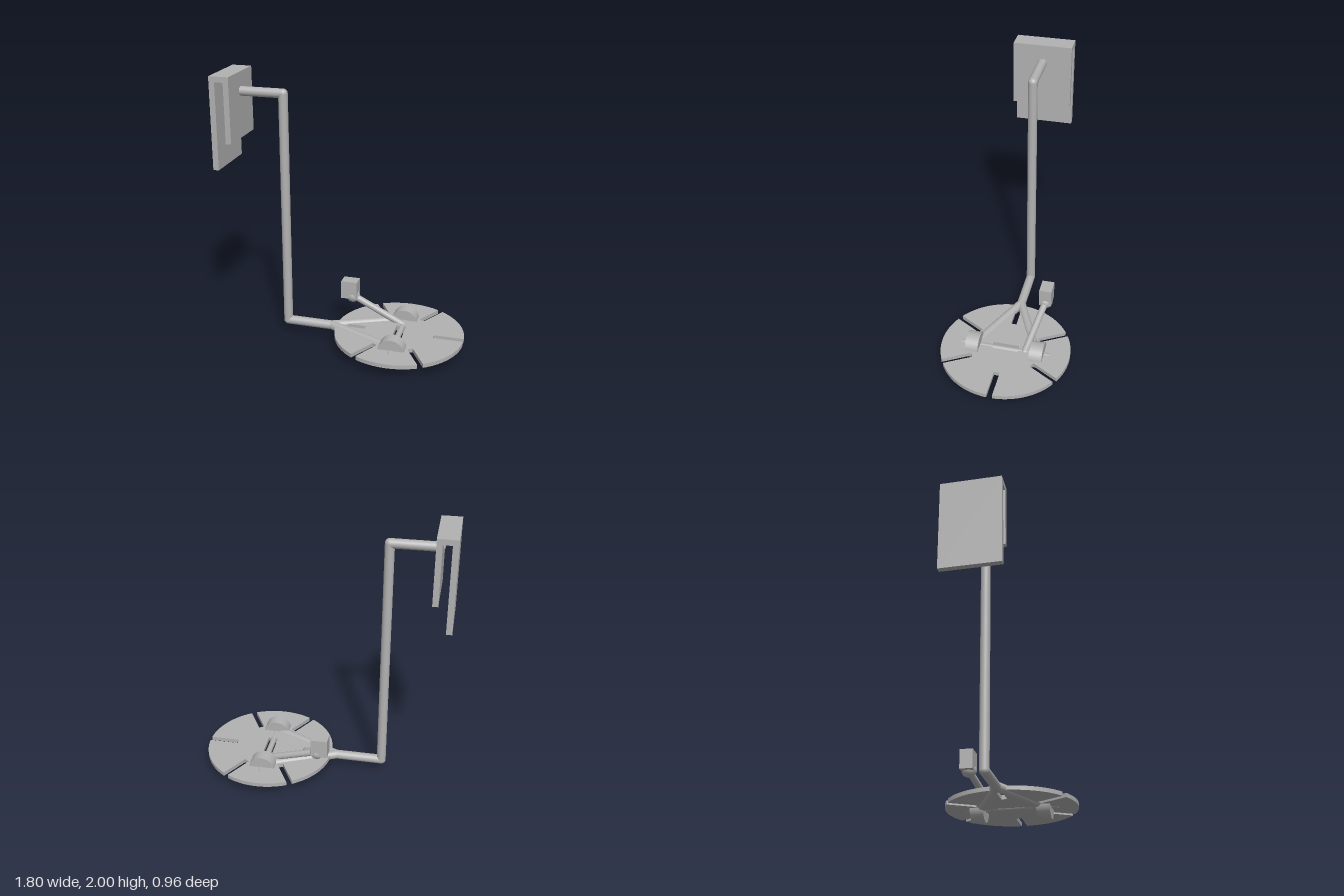
import * as THREE from 'three';

export function createModel() {
  const model = new THREE.Group();
  model.name = 'wheeledDiscStand';
  const grey = new THREE.MeshStandardMaterial({ color: 0xb2b2b2 });
  grey.name = 'plainGrey';

  const add = (name, geometry, x = 0, y = 0, z = 0) => {
    const mesh = new THREE.Mesh(geometry, grey);
    mesh.name = name;
    mesh.position.set(x, y, z);
    model.add(mesh);
    return mesh;
  };
  const box = (name, x0, x1, y0, y1, z0, z1) => add(name,
    new THREE.BoxGeometry(x1 - x0, y1 - y0, z1 - z0),
    (x0 + x1) / 2, (y0 + y1) / 2, (z0 + z1) / 2);
  const ball = (name, p, r) => add(name, new THREE.SphereGeometry(r, 32, 20), ...p);
  const rod = (name, a, b, r) => {
    const from = new THREE.Vector3(...a);
    const dir = new THREE.Vector3(...b).sub(from);
    const mesh = add(name, new THREE.CylinderGeometry(r, r, dir.length(), 32));
    mesh.position.copy(from).addScaledVector(dir, 0.5);
    mesh.quaternion.setFromUnitVectors(new THREE.Vector3(0, 1, 0), dir.normalize());
    return mesh;
  };

  const axleX = 0.42, axleY = 0.098, tubeR = 0.034;

  // Slotted disc: six radial notches and a window around the axle
  const R = 0.48, notchR = 0.26, half = 0.021, notches = 6;
  const edge = Math.asin(half / R);
  const outline = new THREE.Shape();
  for (let i = 0; i < notches; i++) {
    const a = (i * Math.PI * 2) / notches, c = Math.cos(a), s = Math.sin(a);
    const corner = (r, w) => [r * c - w * s, r * s + w * c];
    const rim = Math.sqrt(R * R - half * half);
    if (i === 0) outline.moveTo(...corner(rim, -half));
    outline.lineTo(...corner(notchR, -half));
    outline.lineTo(...corner(notchR, half));
    outline.lineTo(...corner(rim, half));
    outline.absarc(0, 0, R, a + edge, a + Math.PI * 2 / notches - edge, false);
  }
  const slot = new THREE.Path();
  slot.moveTo(-0.036, -0.097);
  slot.lineTo(-0.036, 0.097);
  slot.lineTo(0.036, 0.097);
  slot.lineTo(0.036, -0.097);
  slot.closePath();
  outline.holes.push(slot);
  const disc = new THREE.ExtrudeGeometry(outline, { depth: 0.03, bevelEnabled: false, curveSegments: 24 });
  disc.rotateX(-Math.PI / 2);
  add('slottedDisc', disc, axleX, 0.086, 0);

  // Axle and wheels
  rod('axle', [axleX, axleY, -0.335], [axleX, axleY, 0.335], 0.022);
  for (const side of [-1, 1]) {
    const wheel = new THREE.CylinderGeometry(0.098, 0.098, 0.097, 48);
    wheel.rotateX(Math.PI / 2);
    add('wheel', wheel, axleX, axleY, side * 0.24);
  }

  // Bent tube from the fork up to the hanging bracket
  const fork = [-0.1, 0.1, 0], low = [-0.445, 0.1, 0];
  const high = [-0.445, 1.862, 0], tip = [-0.778, 1.862, 0];
  rod('lowerTube', fork, low, tubeR);
  rod('uprightTube', low, high, tubeR);
  rod('upperTube', high, tip, tubeR);
  for (const p of [fork, low, high, tip]) ball('tubeJoint', p, tubeR);

  // Fork arms reaching the wheels
  for (const side of [-1, 1]) {
    const end = [axleX, 0.1, side * 0.235];
    rod('forkArm', fork, end, tubeR);
    ball('forkEnd', end, tubeR);
  }

  // Hanging bracket: long outer plate, short inner plate, top bridge
  box('outerPlate', -0.905, -0.863, 1.33, 2, -0.215, 0.215);
  box('innerPlate', -0.8, -0.76, 1.527, 2, -0.215, 0.215);
  box('topBridge', -0.863, -0.8, 1.96, 2, -0.215, 0.215);

  // Small block on a ball-jointed arm
  const armBase = [axleX, 0.103, -0.145], armTop = [0.01, 0.262, -0.217];
  rod('blockArm', armBase, armTop, 0.025);
  ball('armFoot', armBase, 0.025);
  ball('armBall', armTop, 0.052);
  box('block', -0.074, 0.049, 0.25, 0.39, -0.264, -0.171);

  return model;
}
